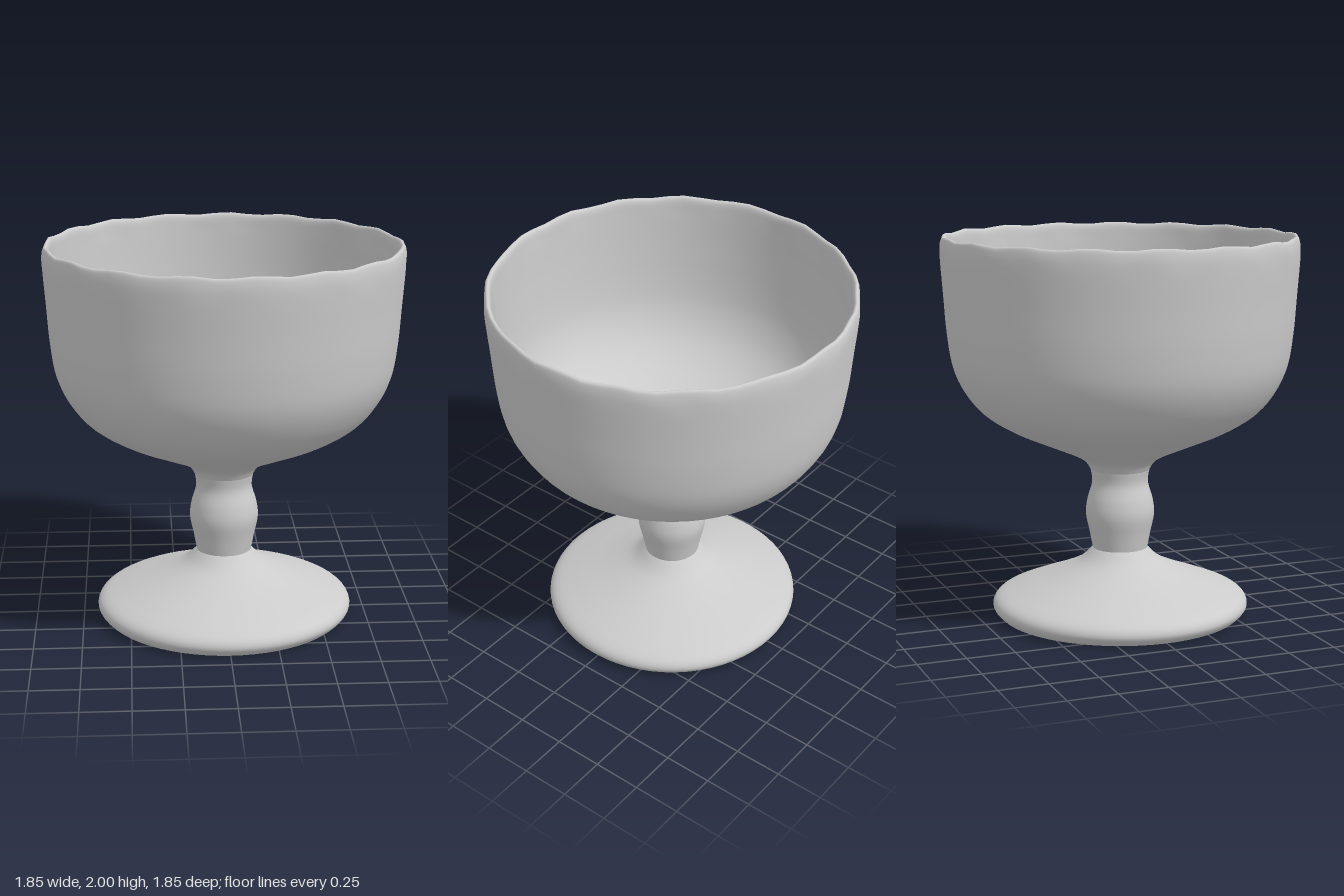
import * as THREE from 'three';
import { mergeVertices } from 'three/addons/utils/BufferGeometryUtils.js';

const SIDES = 64;

// Smooth lathe from [radius, height] points, running up the outside
function turned(name, points, samples, shape) {
  const curve = new THREE.SplineCurve(points.map(([r, y]) => new THREE.Vector2(r, y)));
  const profile = curve.getPoints(samples);
  profile.forEach((p) => { p.x = Math.max(p.x, 0); });
  let geometry = new THREE.LatheGeometry(profile, SIDES);
  geometry.deleteAttribute('uv');
  geometry.deleteAttribute('normal');
  geometry = mergeVertices(geometry, 1e-4);
  if (shape) shape(geometry.attributes.position);
  geometry.computeVertexNormals();
  const material = new THREE.MeshStandardMaterial({ color: 0xcccccc, side: THREE.DoubleSide });
  const mesh = new THREE.Mesh(geometry, material);
  mesh.name = name;
  return mesh;
}

// Gentle hand-made waviness, fading out below the rim
function rippleRim(position) {
  for (let i = 0; i < position.count; i++) {
    const x = position.getX(i), y = position.getY(i), z = position.getZ(i);
    const fade = THREE.MathUtils.smoothstep(y, 1.86, 1.98);
    const a = Math.atan2(z, x);
    const wave = 0.6 * Math.sin(21 * a) + 0.4 * Math.sin(13 * a + 1);
    const scale = 1 + 0.005 * fade * wave;
    position.setXYZ(i, x * scale, y - 0.006 * fade * (1 - Math.sin(17 * a + 2)), z * scale);
  }
}

export function createModel() {
  const group = new THREE.Group();
  group.name = 'goblet';

  // Flared foot with a rounded edge and a nearly flat underside
  group.add(turned('foot', [
    [0, 0.015], [0.3, 0.01], [0.6, 0.002], [0.645, 0.006], [0.675, 0.05], [0.645, 0.1],
    [0.53, 0.15], [0.36, 0.215], [0.22, 0.28], [0.145, 0.35],
  ], 54));

  // Stem with a swollen knop
  group.add(turned('stem', [
    [0.145, 0.35], [0.16, 0.43], [0.18, 0.53], [0.172, 0.61], [0.147, 0.7], [0.155, 0.77],
  ], 30));

  // Bowl: outer wall, rim and inner wall in one profile
  group.add(turned('bowl', [
    [0.155, 0.77], [0.185, 0.815], [0.25, 0.855], [0.4, 0.92], [0.58, 1.0], [0.72, 1.09],
    [0.81, 1.2], [0.868, 1.33], [0.895, 1.5], [0.91, 1.7], [0.924, 1.9], [0.92, 1.98],
    [0.906, 2.0], [0.89, 1.98], [0.885, 1.9], [0.875, 1.7], [0.858, 1.5], [0.83, 1.35],
    [0.77, 1.22], [0.68, 1.12], [0.57, 1.045], [0.42, 0.975], [0.25, 0.92], [0, 0.89],
  ], 138, rippleRim));

  return group;
}
